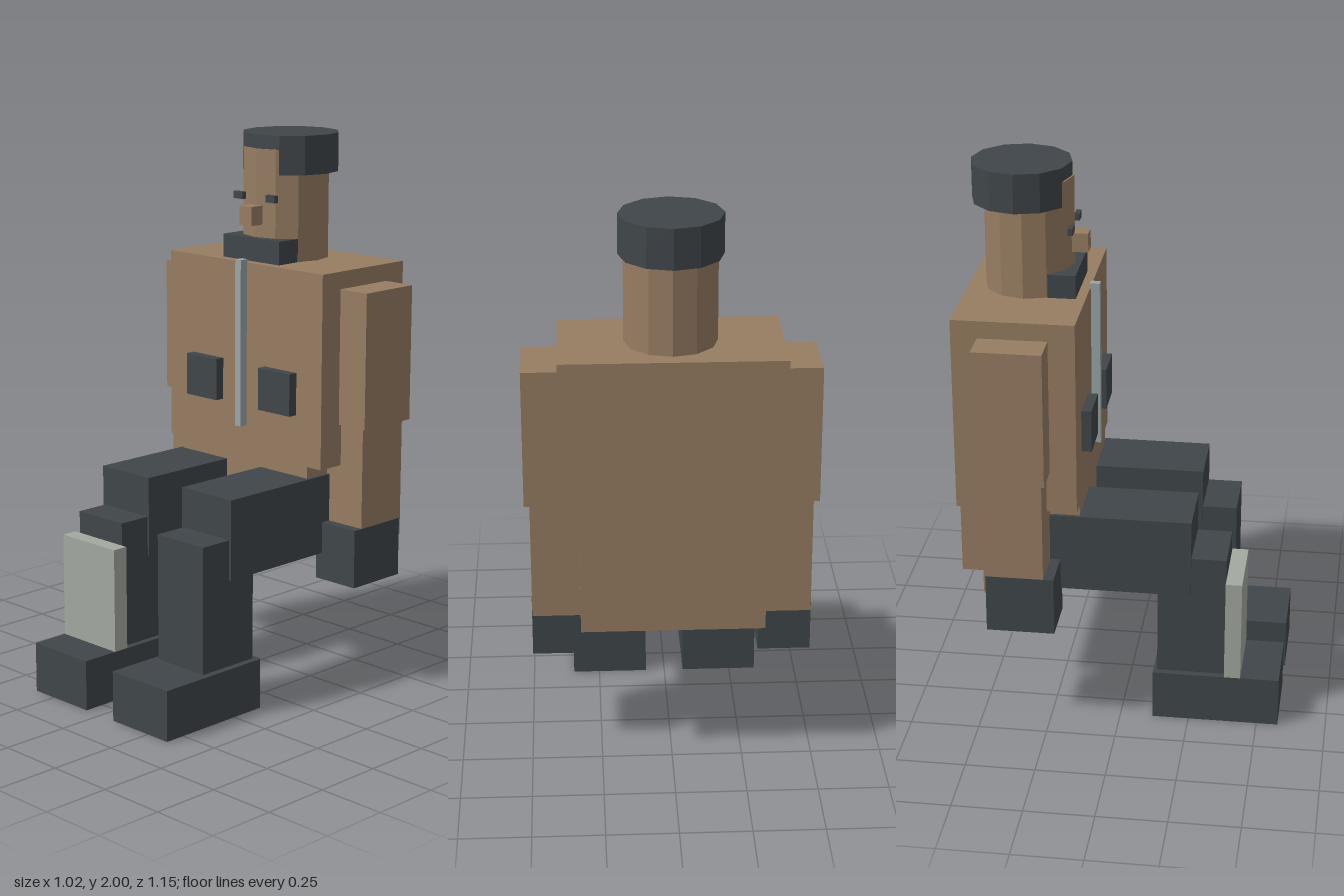
import * as THREE from 'three';

export function createModel() {
  const model = new THREE.Group();
  model.name = 'seatedFigure';

  const flat = (name, color) => {
    const m = new THREE.MeshStandardMaterial({ color, flatShading: true });
    m.name = name;
    return m;
  };
  const brown = flat('brown', 0x977d62);
  const charcoal = flat('charcoal', 0x40464a);
  const paleGrey = flat('paleGrey', 0xa3a8a0);
  const steel = flat('steel', 0x9ba6a8);

  const add = (name, geometry, material) => {
    const mesh = new THREE.Mesh(geometry, material);
    mesh.name = name;
    model.add(mesh);
    return mesh;
  };
  // Box given by its limits on each axis
  const box = (name, material, [x0, x1], [y0, y1], [z0, z1]) =>
    add(name, new THREE.BoxGeometry(x1 - x0, y1 - y0, z1 - z0), material)
      .position.set((x0 + x1) / 2, (y0 + y1) / 2, (z0 + z1) / 2);
  // The same box on both sides of the body
  const pair = (name, material, [x0, x1], y, z) => {
    box(name + 'Left', material, [x0, x1], y, z);
    box(name + 'Right', material, [-x1, -x0], y, z);
  };

  // Torso, hips and jacket details
  box('torso', brown, [-0.385, 0.385], [0.838, 1.545], [-0.577, -0.147]);
  box('hips', brown, [-0.32, 0.32], [0.55, 0.838], [-0.577, -0.147]);
  box('zip', steel, [-0.014, 0.014], [0.94, 1.557], [-0.15, -0.115]);
  pair('pocket', charcoal, [0.107, 0.263], [1.02, 1.175], [-0.15, -0.111]);

  // Arms
  pair('upperArm', brown, [0.3, 0.508], [0.99, 1.482], [-0.485, -0.241]);
  pair('forearm', brown, [0.306, 0.489], [0.558, 0.99], [-0.466, -0.254]);
  pair('hand', charcoal, [0.305, 0.49], [0.405, 0.62], [-0.46, -0.217]);

  // Legs
  pair('thigh', charcoal, [0.087, 0.332], [0.504, 0.795], [-0.31, 0.252]);
  pair('shin', charcoal, [0.094, 0.322], [0.185, 0.649], [0.132, 0.378]);
  pair('foot', charcoal, [0.071, 0.347], [0, 0.185], [0.118, 0.577]);
  box('shinGuard', paleGrey, [-0.347, -0.071], [0.185, 0.567], [0.378, 0.437]);

  // Head and face
  add('head', new THREE.CylinderGeometry(0.16, 0.16, 0.42, 12), brown)
    .position.set(0, 1.74, -0.363);
  pair('eye', charcoal, [0.058, 0.104], [1.763, 1.789], [-0.213, -0.195]);
  box('nose', brown, [-0.03, 0.03], [1.678, 1.747], [-0.21, -0.152]);
  box('beard', charcoal, [-0.14, 0.14], [1.545, 1.63], [-0.28, -0.181]);

  // Hair: a full disc on top and a band below that is open over the forehead
  const radius = 0.178, hairZ = -0.387;
  add('hairTop', new THREE.CylinderGeometry(radius, radius, 0.062, 12), charcoal)
    .position.set(0, 1.969, hairZ);
  const band = new THREE.Shape();
  band.moveTo(0, 0);
  for (let i = 1; i <= 11; i++) {
    const a = (i / 12) * Math.PI * 2;
    band.lineTo(radius * Math.sin(a), -radius * Math.cos(a));
  }
  band.closePath();
  const bandGeometry = new THREE.ExtrudeGeometry(band, { depth: 0.079, bevelEnabled: false });
  bandGeometry.rotateX(-Math.PI / 2);
  add('hairBand', bandGeometry, charcoal).position.set(0, 1.859, hairZ);

  return model;
}
